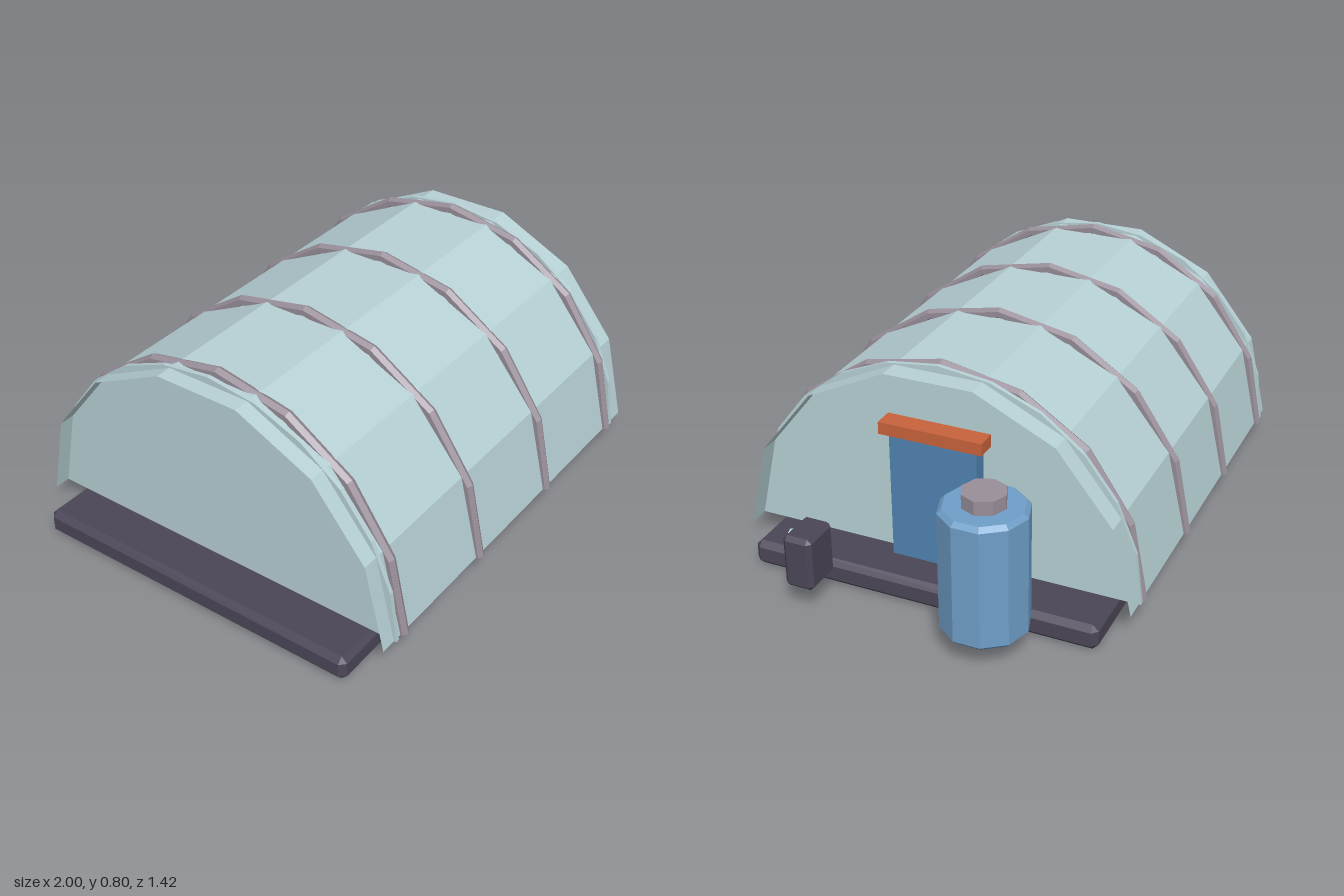
import * as THREE from 'three';
import { ConvexGeometry } from 'three/addons/geometries/ConvexGeometry.js';

const FLOOR = 0.09;   // top of the base slab
const MID = -0.127;   // centre of the tunnel along x

function mat(name, color, doubleSided = false) {
  const m = new THREE.MeshStandardMaterial({ color, flatShading: true });
  m.name = name;
  if (doubleSided) m.side = THREE.DoubleSide;
  return m;
}

// Box between two corners with every edge cut at 45 degrees
function chamferBox(lo, hi, c) {
  const half = hi.map((v, i) => (v - lo[i]) / 2);
  const pts = [];
  for (const sx of [-1, 1]) for (const sy of [-1, 1]) for (const sz of [-1, 1]) {
    for (let full = 0; full < 3; full++) {
      const p = [sx, sy, sz].map((s, i) => s * (half[i] - (i === full ? 0 : c)));
      pts.push(new THREE.Vector3(...p));
    }
  }
  return new ConvexGeometry(pts).translate(...lo.map((v, i) => (v + hi[i]) / 2));
}

function box(lo, hi) {
  const size = hi.map((v, i) => v - lo[i]);
  return new THREE.BoxGeometry(...size).translate(...lo.map((v, i) => (v + hi[i]) / 2));
}

// Half cylinder lying along x with its round side up
function halfCylinder(radius, length, sides, open, x) {
  return new THREE.CylinderGeometry(radius, radius, length, sides, 1, open, 0, Math.PI)
    .rotateZ(Math.PI / 2).translate(x, FLOOR, 0);
}

export function createModel() {
  const model = new THREE.Group();
  model.name = 'greenhouse';
  const slab = mat('dark slate', 0x4b4657);
  const film = mat('pale film', 0xb7d1d5, true);
  const metal = mat('grey metal', 0x988e99);
  const tankBlue = mat('tank blue', 0x6f9ec8);
  const doorBlue = mat('door blue', 0x4f83b1);
  const orange = mat('orange', 0xc9633c);
  const soil = mat('soil brown', 0xad7a55);

  const add = (name, geometry, material) => {
    const mesh = new THREE.Mesh(geometry, material);
    mesh.name = name;
    model.add(mesh);
    return mesh;
  };

  add('base', chamferBox([-1, 0, -0.62], [0.745, FLOOR, 0.62], 0.02), slab);

  // Tunnel cover and the two end walls set in from its ends
  add('cover', halfCylinder(0.692, 1.53, 7, true, MID), film);
  for (const x of [-0.828, 0.557]) {
    add('endWall', halfCylinder(0.7, 0.015, 12, false, x), film);
  }

  // Hoops
  for (let i = 0; i < 4; i++) {
    const hoop = new THREE.TorusGeometry(0.69, 0.02, 6, 8, Math.PI)
      .rotateY(Math.PI / 2).translate(MID + (i - 1.5) * 0.438, FLOOR, 0);
    add('hoop', hoop, metal);
  }

  // Planting beds along both sides
  for (const s of [-1, 1]) {
    const bed = box([MID - 0.6, FLOOR, -0.12], [MID + 0.6, 0.19, 0.12]);
    add('plantingBed', bed, soil).position.z = s * 0.38;
  }

  // Door with its lintel
  add('door', box([0.54, FLOOR, -0.155], [0.615, 0.55, 0.155]), doorBlue);
  add('lintel', box([0.55, 0.545, -0.182], [0.635, 0.588, 0.182]), orange);

  // Water tank: ten sides, bevelled rims
  const tankProfile = [[0, FLOOR], [0.13, FLOOR], [0.145, 0.105], [0.145, 0.51], [0.13, 0.525], [0, 0.525]]
    .map(([r, y]) => new THREE.Vector2(r, y));
  add('waterTank', new THREE.LatheGeometry(tankProfile, 10).translate(0.858, 0, -0.295), tankBlue);
  add('tankCap', new THREE.CylinderGeometry(0.073, 0.073, 0.06, 8).translate(0.858, 0.542, -0.295), metal);

  // Control box with a round dial
  add('controlBox', chamferBox([0.784, FLOOR, 0.28], [0.932, 0.28, 0.383], 0.015), slab);
  add('dial', new THREE.CylinderGeometry(0.021, 0.021, 0.02, 8)
    .rotateX(Math.PI / 2).translate(0.858, 0.241, 0.384), film);

  return model;
}
